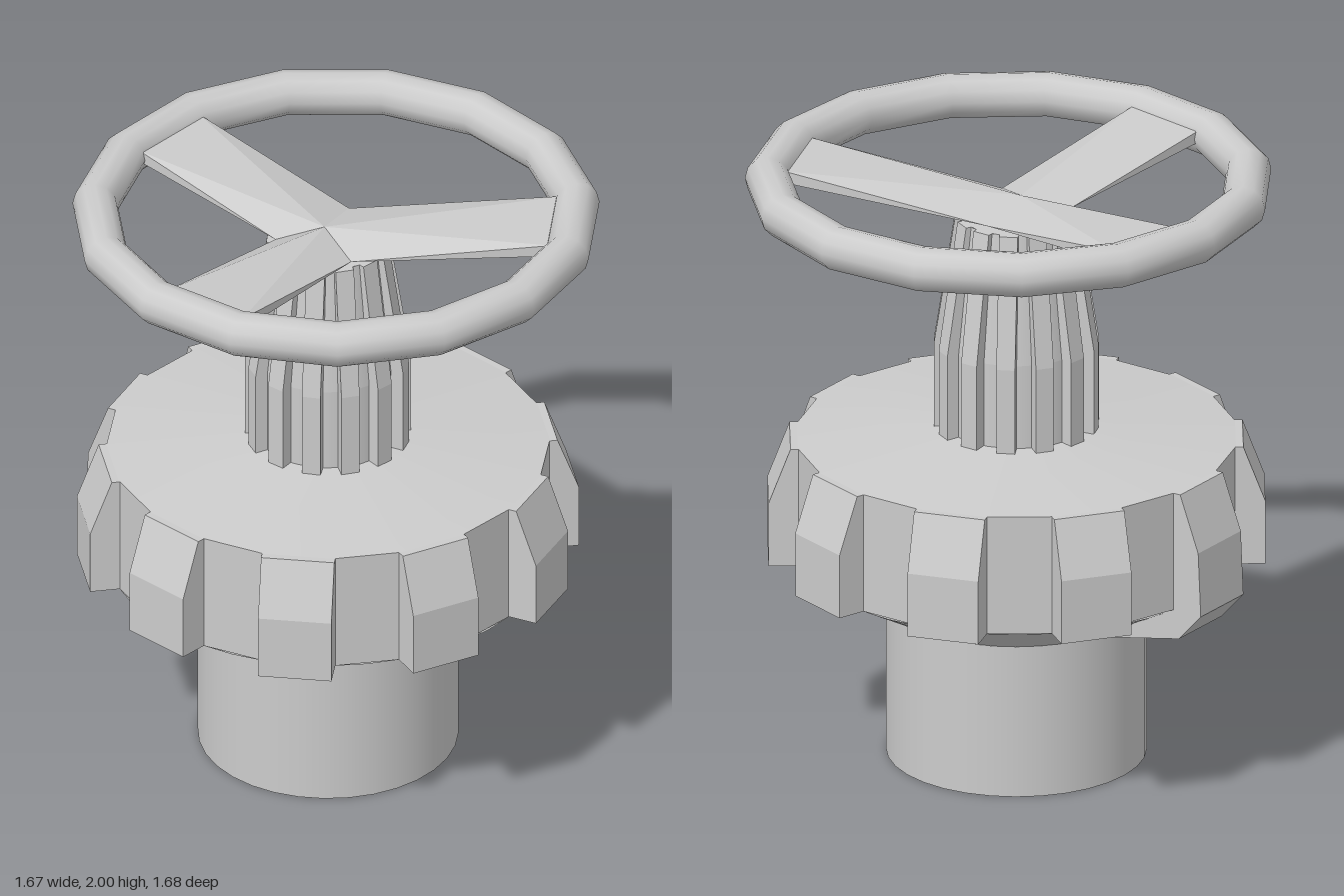
import * as THREE from 'three';

const smooth = new THREE.MeshStandardMaterial({ color: 0xcccccc, side: THREE.DoubleSide });
const flat = new THREE.MeshStandardMaterial({ color: 0xcccccc, flatShading: true });
const rad = THREE.MathUtils.degToRad;

function add(parent, name, geometry, material) {
  const mesh = new THREE.Mesh(geometry, material);
  mesh.name = name;
  parent.add(mesh);
  return mesh;
}

// open band between two heights
function band(parent, name, rBottom, rTop, y0, y1, sides, material = smooth) {
  const g = new THREE.CylinderGeometry(rTop, rBottom, y1 - y0, sides, 1, true);
  g.translate(0, (y0 + y1) / 2, 0);
  return add(parent, name, g, material);
}

// radial rib: a (radius, height) profile with a constant width
function ribGeometry(profile, width) {
  const shape = new THREE.Shape(profile.map(([r, y]) => new THREE.Vector2(r, y)));
  const g = new THREE.ExtrudeGeometry(shape, { depth: width, bevelEnabled: false });
  return g.translate(0, 0, -width / 2);
}

// three thin tapering spokes meeting in a shallow hub
function spokesGeometry() {
  const hub = [-0.03, 1.89, -0.03];
  const valleys = [[0.16, 1.85, -0.07], [-0.13, 1.85, -0.15], [-0.1, 1.85, 0.125]];
  const ends = [
    [[0.205, -0.69], [-0.085, -0.715]],
    [[-0.72, -0.15], [-0.72, 0.145]],
    [[0.215, 0.685], [0.475, 0.535]],
  ];
  const pos = [];
  const tri = (...points) => points.forEach((p) => pos.push(...p));
  ends.forEach(([p, q], i) => {
    const before = valleys[i], after = valleys[(i + 1) % 3];
    const [pt, qt] = [p, q].map(([x, z]) => [x, 1.955, z]);
    const [pb, qb] = [p, q].map(([x, z]) => [x, 1.915, z]);
    tri(hub, before, pt);
    tri(hub, pt, qt);
    tri(hub, qt, after);
    tri(before, pb, pt);
    tri(after, qt, qb);
    tri(pt, pb, qb);
    tri(pt, qb, qt);
    tri(before, after, qb);
    tri(before, qb, pb);
  });
  tri(valleys[0], valleys[2], valleys[1]);
  const g = new THREE.BufferGeometry();
  g.setAttribute('position', new THREE.Float32BufferAttribute(pos, 3));
  g.computeVertexNormals();
  return g;
}

export function createModel() {
  const model = new THREE.Group();
  model.name = 'valve';
  const body = new THREE.Group();
  body.name = 'body';
  body.position.set(-0.01, 0, -0.03);
  model.add(body);

  // open pipe
  band(body, 'pipe', 0.415, 0.415, 0, 0.515, 32);

  // flared collar, turned so that one flat side fills each gap between teeth
  const collar = new THREE.Group();
  collar.name = 'collar';
  collar.rotation.y = rad(1);
  body.add(collar);
  band(collar, 'collarUnderside', 0.415, 0.705, 0.515, 0.675, 40);
  band(collar, 'collarSide', 0.705, 0.705, 0.675, 1.075, 20, flat);
  band(collar, 'collarTop', 0.705, 0.2, 1.075, 1.12, 20);

  // chamfered teeth round the collar, the one at the back reaching further down
  const upper = [[0.79, 0.89], [0.72, 1.075], [0.6, 1.075]];
  const tooth = ribGeometry([[0.6, 0.675], [0.79, 0.675], ...upper], 0.235);
  const backTooth = ribGeometry([[0.41, 0.515], [0.715, 0.58], [0.8, 0.675], ...upper], 0.235);
  for (let i = 0; i < 10; i++) {
    const geometry = i === 5 ? backTooth : tooth;
    add(body, i === 5 ? 'backTooth' : 'tooth', geometry, flat).rotation.y = rad(10 + 36 * i - 90);
  }

  // fluted stem
  band(body, 'stemLower', 0.225, 0.225, 1.1, 1.4, 26);
  band(body, 'stemUpper', 0.225, 0.18, 1.4, 1.83, 26);
  const cap = new THREE.CircleGeometry(0.18, 26).rotateX(-Math.PI / 2).translate(0, 1.83, 0);
  add(body, 'stemCap', cap, smooth);
  const flute = ribGeometry([[0.1, 1.08], [0.262, 1.08], [0.262, 1.4], [0.195, 1.83], [0.1, 1.83]], 0.06);
  for (let i = 0; i < 13; i++) {
    add(body, 'stemRib', flute, flat).rotation.y = rad(10 + (i * 360) / 13);
  }

  // handwheel rim with fifteen sides, and its spokes
  const rim = new THREE.TorusGeometry(0.77, 0.0725, 12, 15).rotateX(Math.PI / 2);
  add(model, 'wheelRim', rim, smooth).position.set(-0.008, 1.9275, 0);
  add(model, 'wheelSpokes', spokesGeometry(), flat);

  return model;
}
